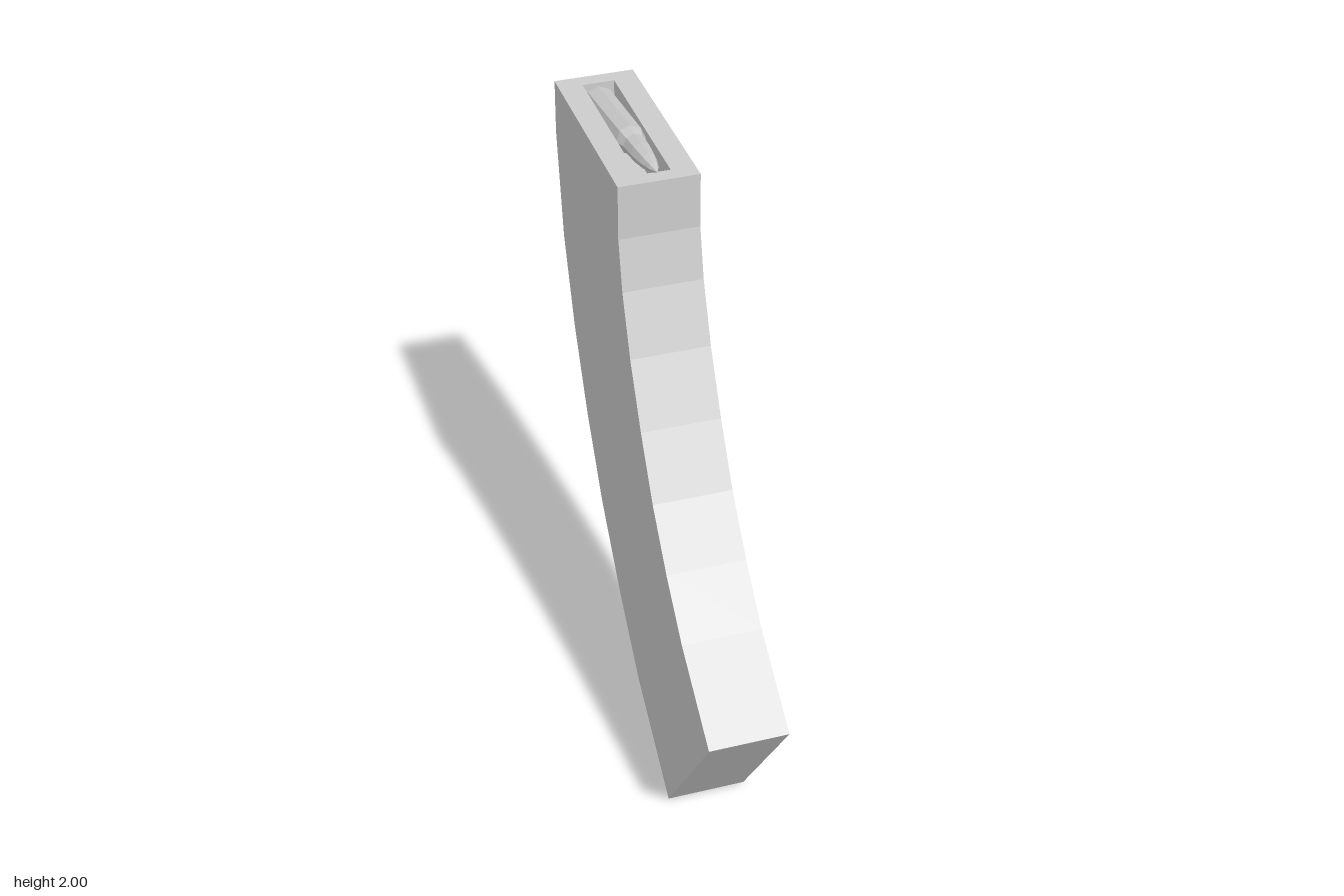
import * as THREE from 'three';
import { mergeGeometries } from 'three/addons/utils/BufferGeometryUtils.js';

const HALF = 0.125, TOP = 1.965;
const SLOT = { half: 0.05, back: -0.72, front: -0.15, depth: 0.14 };

// Side outline as [z, y]: down the front, round the base, up the back.
const OUTLINE = [
  [-0.1, TOP], [-0.1, 1.79], [-0.065, 1.63], [0.008, 1.44], [0.11, 1.245],
  [0.225, 1.06], [0.36, 0.895], [0.51, 0.745], [0.77, 0.55],
  [0.38, 0], [0.06, 0.24], [-0.135, 0.44], [-0.325, 0.67], [-0.48, 0.915],
  [-0.61, 1.175], [-0.71, 1.45], [-0.77, 1.79], [-0.77, TOP],
];

const toShape = (points) => new THREE.Shape(points.map(([a, b]) => new THREE.Vector2(a, b)));
const rectangle = (w, y0, y1) => [[-w, y0], [w, y0], [w, y1], [-w, y1]];

// Flat panel across the width joining two outline points
function wallPanel([z0, y0], [z1, y1]) {
  const a = [-HALF, y0, z0], b = [-HALF, y1, z1], c = [HALF, y1, z1], d = [HALF, y0, z0];
  const g = new THREE.BufferGeometry();
  g.setAttribute('position', new THREE.Float32BufferAttribute([a, b, c, a, c, d].flat(), 3));
  return g;
}

function plain(geometry) {
  const g = geometry.index ? geometry.toNonIndexed() : geometry;
  g.deleteAttribute('uv');
  g.computeVertexNormals();
  return g;
}

// Curved casing, with the top left open at the slot
function casingGeometry() {
  const parts = [];
  for (const side of [-1, 1]) {
    const shape = toShape(OUTLINE.map(([z, y]) => [-side * z, y]));
    parts.push(new THREE.ShapeGeometry(shape).rotateY(side * Math.PI / 2).translate(side * HALF, 0, 0));
  }
  for (let i = 0; i < OUTLINE.length - 1; i++) parts.push(wallPanel(OUTLINE[i], OUTLINE[i + 1]));
  const lid = toShape(rectangle(HALF, 0.1, 0.77));
  lid.holes.push(toShape(rectangle(SLOT.half, -SLOT.front, -SLOT.back)));
  parts.push(new THREE.ShapeGeometry(lid).rotateX(-Math.PI / 2).translate(0, TOP, 0));
  return mergeGeometries(parts.map(plain));
}

// Inward-facing box without its top face
function slotGeometry() {
  const g = new THREE.BoxGeometry(SLOT.half * 2, SLOT.depth, SLOT.front - SLOT.back);
  g.scale(-1, 1, 1);
  const index = Array.from(g.index.array);
  index.splice(12, 6);
  g.setIndex(index);
  g.translate(0, TOP - SLOT.depth / 2, (SLOT.front + SLOT.back) / 2);
  return plain(g);
}

export function createModel() {
  const group = new THREE.Group();
  const material = new THREE.MeshStandardMaterial({ color: 0xcccccc, flatShading: true });
  const add = (name, geometry) => {
    const mesh = new THREE.Mesh(geometry, material);
    mesh.name = name;
    group.add(mesh);
    return mesh;
  };

  add('curvedCasing', casingGeometry());
  add('topSlot', slotGeometry());

  // Eight-sided round: case, shoulder and pointed nose, tilted up at the front
  const profile = [
    [0, 0], [0.049, 0], [0.046, 0.34], [0.035, 0.38], [0.033, 0.45],
    [0.026, 0.52], [0.015, 0.57], [0, 0.605],
  ].map(([r, s]) => new THREE.Vector2(r, s));
  const round = add('topRound', new THREE.LatheGeometry(profile, 8).rotateX(Math.PI / 2));
  round.rotation.x = -0.13;
  round.position.set(0, 1.904, -0.718);

  return group;
}
